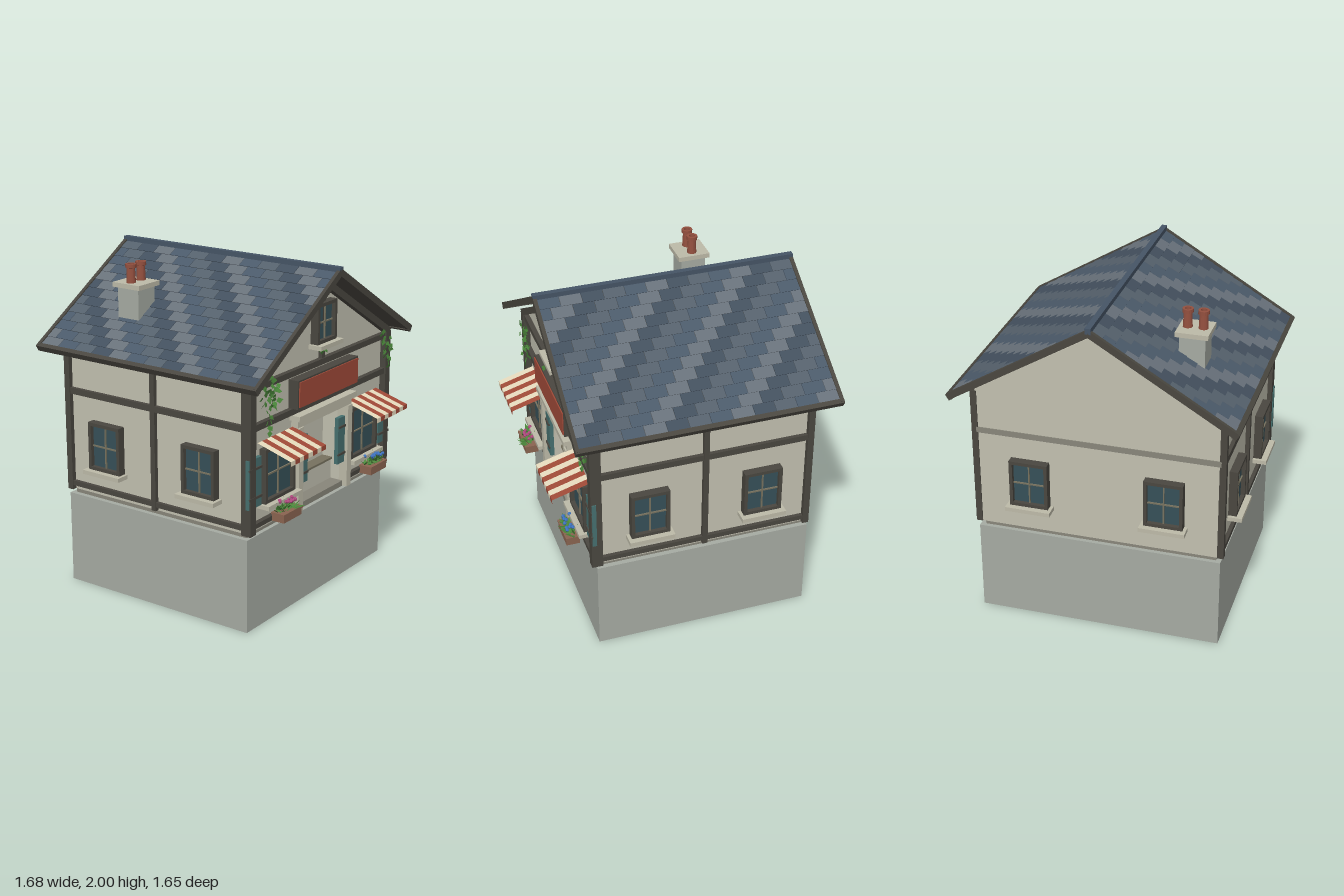
import * as THREE from 'three';
import { mergeGeometries } from 'three/addons/utils/BufferGeometryUtils.js';

const C = {
  wall: 0xc2c0b0, stone: 0xa6aba3, trim: 0xbdbaa8, timber: 0x4a4740, glass: 0x365058, bar: 0x77725f,
  teal: 0x46706f, red: 0xa04a38, cream: 0xe6dabd, pot: 0x94503f, planter: 0x8a6450, green: 0x4c8a3c,
  band: 0x88867a, pink: 0xb04a80, blue: 0x3f74c0, ridge: 0x465566,
};
const TILES = [0x55616c, 0x43505e, 0x68717a, 0x4b5a6a];
const mats = {};
const mat = (color, double) => mats[color + (double ? 'd' : '')] ??= new THREE.MeshStandardMaterial({
  color, flatShading: true, side: double ? THREE.DoubleSide : THREE.FrontSide });

function add(parent, name, geo, color, double) {
  const m = new THREE.Mesh(geo, mat(color, double));
  m.name = name;
  parent.add(m);
  return m;
}
// box given by its limits
function box(parent, name, color, x0, x1, y0, y1, z0, z1) {
  const m = add(parent, name, new THREE.BoxGeometry(x1 - x0, y1 - y0, z1 - z0), color);
  m.position.set((x0 + x1) / 2, (y0 + y1) / 2, (z0 + z1) / 2);
  return m;
}
function group(parent, name) {
  const g = new THREE.Group();
  g.name = name;
  parent.add(g);
  return g;
}
let seed = 7;
const rnd = (a, b) => a + (b - a) * ((seed = (seed * 16807) % 2147483647) / 2147483647);

// framed window facing +z, origin at bottom centre on the wall
function windowUnit(parent, name, w, h, x, y, z, turn = 0) {
  const g = group(parent, name), f = 0.02, d = 0.05;
  g.position.set(x, y, z);
  g.rotation.y = turn;
  for (const s of [-1, 1]) {
    const c = s * (w / 2 - f / 2);
    box(g, 'frameSide', C.timber, c - f / 2, c + f / 2, 0, h, 0, d);
  }
  box(g, 'frameBottom', C.timber, -w / 2, w / 2, 0, f, 0, d);
  box(g, 'frameTop', C.timber, -w / 2, w / 2, h - f, h, 0, d);
  box(g, 'glass', C.glass, -w / 2 + f, w / 2 - f, f, h - f, 0, 0.025);
  box(g, 'glazingBar', C.bar, -0.004, 0.004, f, h - f, 0.02, 0.034);
  box(g, 'glazingBar', C.bar, -w / 2 + f, w / 2 - f, h / 2 - 0.004, h / 2 + 0.004, 0.02, 0.034);
  box(g, 'sill', C.trim, -w / 2 - 0.02, w / 2 + 0.02, -0.025, 0, 0, 0.085);
}

// pointed leaf, base at the origin, along +y
function leaf(len, wid) {
  const s = new THREE.Shape();
  s.moveTo(0, 0).lineTo(wid / 2, len * 0.4).lineTo(0, len).lineTo(-wid / 2, len * 0.4);
  return new THREE.ShapeGeometry(s);
}

// hanging strands of ivy: [x, top, length]
function ivy(parent, strands) {
  const parts = [];
  for (const [x, top, len] of strands)
    for (let t = 0; t < len; t += 0.016) {
      const g = leaf(rnd(0.028, 0.045), rnd(0.026, 0.038));
      g.rotateX(rnd(-0.6, 0.6)).rotateY(rnd(-0.6, 0.6)).rotateZ(rnd(1.5, 4.8));
      parts.push(g.translate(x + rnd(-0.02, 0.02), top - t, rnd(0.645, 0.675)));
    }
  add(parent, 'ivy', mergeGeometries(parts), C.green, true);
}

function planter(parent, x, flower) {
  const g = group(parent, 'planter');
  g.position.set(x, 0, 0.7);
  box(g, 'planterBox', C.planter, -0.09, 0.09, 0.645, 0.69, -0.04, 0.04);
  box(g, 'planterRim', C.planter, -0.095, 0.095, 0.685, 0.697, -0.044, 0.044);
  const leaves = [], blooms = [];
  for (let i = 0; i < 44; i++) {
    const a = rnd(0, 6.28), px = rnd(-0.075, 0.075);
    leaves.push(leaf(rnd(0.05, 0.08), 0.022).rotateX(rnd(0.4, 1.35)).rotateY(a).translate(px, 0.692, rnd(-0.02, 0.02)));
    if (i % 4 === 0)
      blooms.push(new THREE.IcosahedronGeometry(0.012, 0).translate(px, rnd(0.735, 0.755), rnd(-0.03, 0.03)));
  }
  add(g, 'leaves', mergeGeometries(leaves), C.green, true);
  add(g, 'flowers', mergeGeometries(blooms), flower);
}

function awning(parent, x0) {
  const g = group(parent, 'awning'), w = 0.355 / 8;
  const profile = [[0.61, 1.115], [0.83, 1.05], [0.83, 1.022]];
  for (let i = 0; i < 8; i++) {
    const geo = new THREE.PlaneGeometry(w, 1, 1, 2), p = geo.attributes.position;
    for (let v = 0; v < p.count; v++) {
      const [z, y] = profile[v >> 1];
      p.setXYZ(v, p.getX(v) + x0 + (i + 0.5) * w, y, z);
    }
    geo.computeVertexNormals();
    add(g, 'stripe', geo, i % 2 ? C.red : C.cream, true);
  }
}

function roof(parent) {
  const g = group(parent, 'roof'), ang = Math.atan(0.6), cos = Math.cos(ang), sin = Math.sin(ang);
  const z0 = -0.825, z1 = 0.735, len = 0.965, top = 1.975;
  // box lying on a slope: u runs down from the ridge, h is the height above the slope
  const slopeGeo = (s, u0, u1, h0, h1, za, zb, tilt = 0) => {
    const u = (u0 + u1) / 2, h = (h0 + h1) / 2;
    return new THREE.BoxGeometry(u1 - u0, h1 - h0, zb - za).rotateZ(-s * (ang - tilt))
      .translate(s * (u * cos + h * sin), top - u * sin + h * cos, (za + zb) / 2);
  };
  const rows = 13, rh = 0.945 / rows, tw = 1.52 / 12, start = z0 + 0.02;
  for (const s of [-1, 1]) {
    add(g, 'roofDeck', slopeGeo(s, 0, len, -0.022, -0.002, z0, z1), C.timber);
    for (const z of [z0, z1 - 0.022])
      add(g, 'bargeBoard', slopeGeo(s, 0, len, -0.025, 0.014, z, z + 0.022), C.timber);
    add(g, 'eavesBoard', slopeGeo(s, len - 0.02, len + 0.008, -0.028, 0.012, z0, z1), C.timber);
    // staggered slates, shaded in diagonal bands
    const byShade = [[], [], [], []];
    for (let r = 0; r < rows; r++)
      for (let k = -(r % 2); k < 24; k += 2) {
        const za = start + Math.max(0, k) * tw / 2, zb = start + Math.min(24, k + 2) * tw / 2;
        byShade[(((k - r) >> 1) + 40) % 4].push(
          slopeGeo(s, r * rh, (r + 1) * rh + 0.008, 0, 0.007, za + 0.0015, zb - 0.0015, 0.05));
      }
    byShade.forEach((list, i) => add(g, 'slates', mergeGeometries(list), TILES[i]));
  }
  box(g, 'ridgeCap', C.ridge, -0.017, 0.017, 1.965, 2, z0, z1);
}

export function createModel() {
  const root = new THREE.Group();
  root.name = 'shopHouse';

  // base and plinth
  box(root, 'base', C.stone, -0.73, 0.73, 0, 0.565, -0.695, 0.605);
  box(root, 'plinth', C.band, -0.7, 0.7, 0.565, 0.6, -0.67, 0.58);

  // gabled body, with a front wall pierced by the shop entrance
  const gable = () => new THREE.Shape([[-0.72, 0.597], [0.72, 0.597], [0.72, 1.47], [0, 1.9], [-0.72, 1.47]]
    .map(([x, y]) => new THREE.Vector2(x, y)));
  const prism = (shape, depth, z) =>
    new THREE.ExtrudeGeometry(shape, { depth, bevelEnabled: false }).translate(0, 0, z);
  add(root, 'body', prism(gable(), 1.17, -0.69), C.wall);
  const front = gable();
  front.holes.push(new THREE.Path([[-0.24, 0.63], [-0.24, 1.11], [0.24, 1.11], [0.24, 0.63]]
    .map(([x, y]) => new THREE.Vector2(x, y))));
  add(root, 'frontWall', prism(front, 0.12, 0.48), C.wall);

  // entrance
  const door = group(root, 'entrance');
  box(door, 'stallRiser', C.wall, -0.24, 0.24, 0.63, 0.755, 0.48, 0.54);
  box(door, 'ledge', C.bar, -0.24, 0.24, 0.755, 0.768, 0.48, 0.55);
  box(door, 'threshold', C.band, -0.24, 0.24, 0.6, 0.632, 0.48, 0.625);
  box(door, 'ceilingLamp', C.timber, -0.05, 0.05, 1.1, 1.11, 0.55, 0.6);
  box(door, 'lintel', C.trim, -0.29, 0.29, 1.11, 1.157, 0.595, 0.645);
  box(door, 'cornice', C.trim, -0.31, 0.31, 1.157, 1.187, 0.595, 0.67);

  // timber framing
  const frame = group(root, 'timberFrame');
  for (const [y0, y1] of [[1.42, 1.455], [1.195, 1.232]])
    box(frame, 'frontRail', C.timber, -0.72, 0.72, y0, y1, 0.59, 0.63);
  box(frame, 'kingPost', C.timber, -0.016, 0.016, 1.45, 1.9, 0.59, 0.625);
  box(frame, 'backBand', C.band, -0.72, 0.72, 1.195, 1.23, -0.695, -0.68);
  for (const s of [-1, 1]) {
    const mid = (a, b) => [Math.min(s * a, s * b), Math.max(s * a, s * b)];
    box(frame, 'frontPost', C.timber, ...mid(0.695, 0.748), 0.597, 1.46, 0.575, 0.64);
    box(frame, 'backPost', C.timber, ...mid(0.71, 0.748), 0.597, 1.46, -0.695, -0.657);
    box(frame, 'sidePost', C.timber, ...mid(0.71, 0.745), 0.6, 1.46, -0.06, -0.028);
    for (const [y0, y1] of [[0.623, 0.653], [1.198, 1.235], [1.435, 1.47]])
      box(frame, 'sideRail', C.timber, ...mid(0.71, 0.743), y0, y1, -0.69, 0.6);
    box(frame, 'lowRail', C.timber, ...mid(0.28, 0.72), 0.625, 0.653, 0.59, 0.63);
    const rafter = new THREE.Shape([[0, 1.925], [s * 0.745, 1.478], [s * 0.745, 1.43], [0, 1.877]]
      .map(([x, y]) => new THREE.Vector2(x, y)));
    add(frame, 'gableRafter', prism(rafter, 0.055, 0.585), C.timber);
    box(door, 'pilaster', C.trim, ...mid(0.24, 0.287), 0.6, 1.11, 0.58, 0.655);

    // windows, shutters, awnings and planters
    windowUnit(root, 'frontWindow', 0.3, 0.32, s * 0.457, 0.75, 0.595);
    for (const z of [0.295, -0.385])
      windowUnit(root, 'sideWindow', 0.23, 0.29, s * 0.725, 0.77, z, s * Math.PI / 2);
    windowUnit(root, 'backWindow', 0.23, 0.29, s * 0.4, 0.77, -0.69, Math.PI);
    for (const x of [0.165, 0.635]) {
      const g = group(root, 'shutter');
      box(g, 'shutterPanel', C.teal, ...mid(x, x + 0.12), 0.757, 1.045, 0.61, 0.635);
      for (const y of [0.81, 0.98]) box(g, 'shutterStrap', C.timber, ...mid(x, x + 0.12), y, y + 0.014, 0.63, 0.642);
    }
    awning(root, s < 0 ? -0.64 : 0.282);
    planter(root, s * 0.475, s < 0 ? C.pink : C.blue);
  }
  windowUnit(root, 'atticWindow', 0.2, 0.235, 0, 1.555, 0.6);

  // blank sign board
  box(root, 'signFrame', C.timber, -0.322, 0.322, 1.232, 1.4, 0.6, 0.665);
  box(root, 'signPanel', C.red, -0.312, 0.312, 1.242, 1.39, 0.6, 0.672);

  roof(root);

  // chimney with two hollow pots
  const chimney = group(root, 'chimney');
  box(chimney, 'stack', C.stone, -0.55, -0.4, 1.55, 1.835, -0.435, -0.285);
  box(chimney, 'cap', C.trim, -0.57, -0.38, 1.835, 1.863, -0.457, -0.263);
  const potProfile = [[0.028, 0], [0.024, 0.085], [0.032, 0.088], [0.032, 0.11], [0.018, 0.11], [0.018, 0]]
    .map(([r, y]) => new THREE.Vector2(r, y));
  for (const x of [-0.52, -0.43])
    add(chimney, 'chimneyPot', new THREE.LatheGeometry(potProfile, 16), C.pot, true).position.set(x, 1.863, -0.36);

  // climbing ivy
  ivy(root, [[-0.64, 1.45, 0.1], [-0.6, 1.49, 0.31], [-0.56, 1.47, 0.15], [-0.54, 1.44, 0.13]]);
  ivy(root, [[0.63, 1.48, 0.09], [0.665, 1.47, 0.15], [0.7, 1.4, 0.15]]);
  ivy(root, [[-0.08, 1.55, 0.03], [-0.04, 1.54, 0.06]]);
  return root;
}
